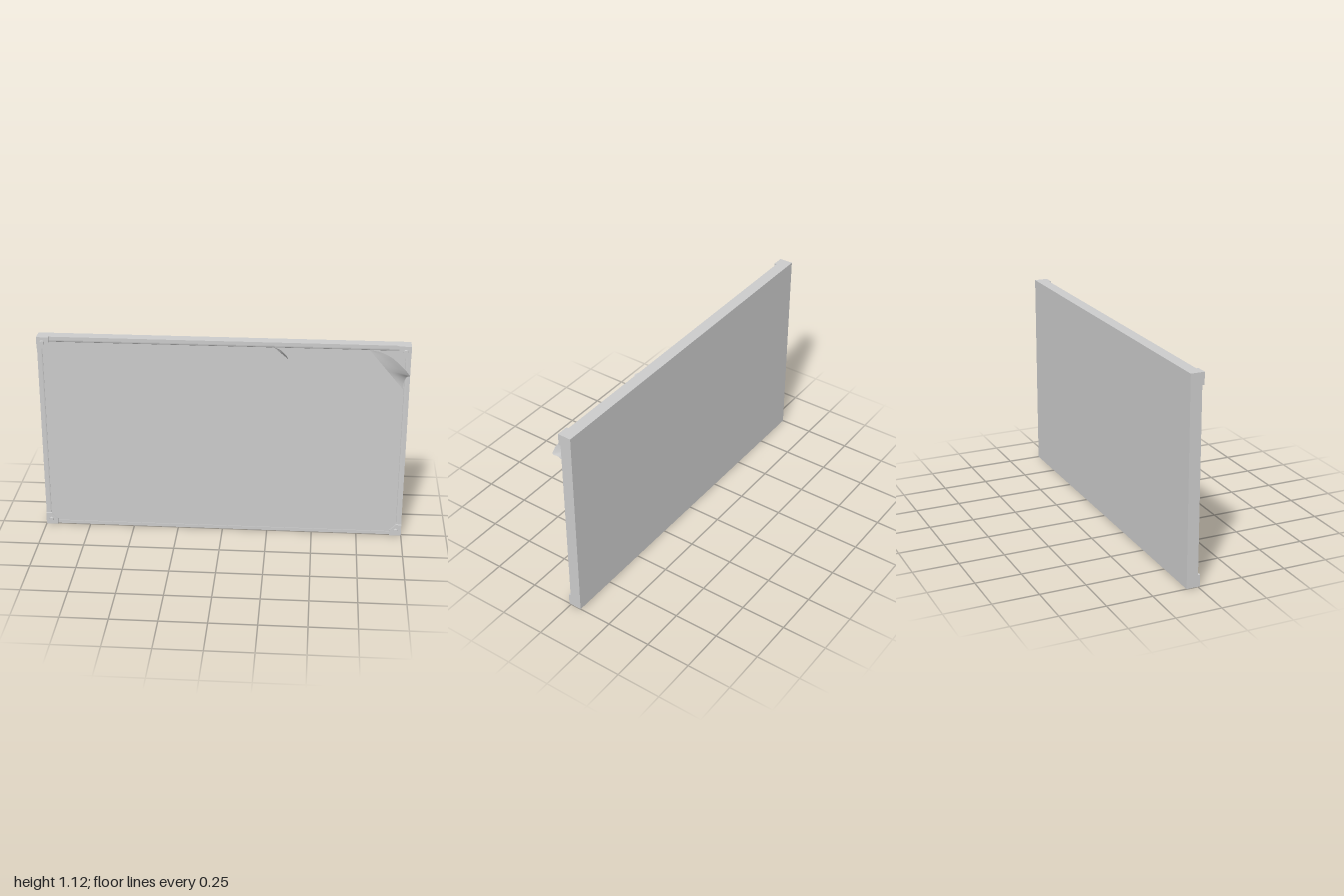
import * as THREE from 'three';

const W = 2, H = 1.125, BACK = -0.063, BOARD = -0.006, SHEET = 0.002;
const grey = new THREE.MeshStandardMaterial({ color: 0xcccccc });
const paper = new THREE.MeshStandardMaterial({ color: 0xcccccc, side: THREE.DoubleSide });

const shapeOf = (pts) => new THREE.Shape(pts.map(([x, y]) => new THREE.Vector2(x, y)));

function add(parent, name, geometry, material = grey) {
  const mesh = new THREE.Mesh(geometry, material);
  mesh.name = name;
  parent.add(mesh);
  return mesh;
}

// Curved sheet lofted from a straight fold line to a free outer edge
function flap(from, to, outer, bulge) {
  const a = new THREE.Vector3(...from), b = new THREE.Vector3(...to);
  const edge = new THREE.CatmullRomCurve3(outer.map((p) => new THREE.Vector3(...p)), false, 'centripetal');
  const n = 16, m = 8, pos = [], index = [];
  for (let i = 0; i <= n; i++) {
    const root = a.clone().lerp(b, i / n), tip = edge.getPoint(i / n);
    for (let j = 0; j <= m; j++) {
      const t = j / m, p = root.clone().lerp(tip, t);
      // stay near the board at the root, then curl outwards
      p.z -= bulge * Math.sin(Math.PI * t) * (tip.z - root.z);
      pos.push(p.x, p.y, p.z);
      if (i < n && j < m) {
        const k = i * (m + 1) + j;
        index.push(k, k + 1, k + m + 1, k + 1, k + m + 2, k + m + 1);
      }
    }
  }
  const g = new THREE.BufferGeometry();
  g.setAttribute('position', new THREE.Float32BufferAttribute(pos, 3));
  g.setIndex(index);
  g.computeVertexNormals();
  return g;
}

export function createModel() {
  const model = new THREE.Group();
  model.name = 'posterBoard';

  // Backing board
  add(model, 'board', new THREE.BoxGeometry(W, H, BOARD - BACK))
    .position.set(0, H / 2, (BOARD + BACK) / 2);

  // Low rails with a rounded inner edge, one along each side
  const h = -BOARD;
  const profile = shapeOf([[0, 0], [0.03, 0], [0.028, h * 0.5], [0.024, h * 0.85], [0.018, h], [0, h]]);
  const rail = (name, length, angle, x, y) => {
    const g = new THREE.ExtrudeGeometry(profile, { depth: length, bevelEnabled: false });
    g.translate(0, 0, -length / 2);
    g.rotateX(Math.PI / 2);          // profile height to +z, length along y
    const mesh = add(model, name, g);
    mesh.rotation.z = angle;
    mesh.position.set(x, y, BOARD);
  };
  rail('leftRail', H - 0.02, Math.PI, 1, H / 2);
  rail('rightRail', H - 0.02, 0, -1, H / 2);
  rail('bottomRail', W - 0.02, Math.PI / 2, 0, 0);
  rail('topRail', W - 0.02, -Math.PI / 2, 0, H);

  // Poster with a missing corner and a torn notch in the top edge
  const sheet = shapeOf([
    [-0.97, 0.022], [0.965, 0.022], [0.965, 0.88], [0.78, 1.098],
    [0.35, 1.098], [0.355, 1.03], [0.275, 1.098], [-0.97, 1.098],
  ]);
  add(model, 'poster', new THREE.ShapeGeometry(sheet), paper).position.z = SHEET;

  // Peeling corner and small torn flap
  add(model, 'peelingCorner', flap(
    [0.78, 1.098, SHEET], [0.965, 0.88, SHEET],
    [[0.78, 1.098, SHEET], [0.845, 1.088, 0.012], [0.91, 1.06, 0.035], [0.995, 0.98, 0.062],
      [0.982, 0.965, 0.035], [0.97, 0.93, 0.012], [0.965, 0.88, SHEET]], 0.12), paper);
  add(model, 'tornFlap', flap(
    [0.275, 1.098, SHEET], [0.355, 1.03, SHEET],
    [[0.275, 1.098, SHEET], [0.31, 1.09, 0.018], [0.342, 1.073, 0.052],
      [0.35, 1.045, 0.02], [0.355, 1.03, SHEET]], 0.1), paper);

  // Corner plates with chamfered inner corners, each with a bolt
  for (const sx of [-1, 1]) for (const sy of [-1, 1]) {
    const corner = new THREE.Group();
    corner.name = (sy > 0 ? 'top' : 'bottom') + (sx > 0 ? 'Left' : 'Right') + 'Bracket';
    const pts = [[0, 0], [0.065, 0], [0.065, 0.03], [0.03, 0.065], [0, 0.065]];
    const plate = shapeOf(pts.map(([x, y]) => [-sx * x, -sy * y]));
    add(corner, 'plate', new THREE.ExtrudeGeometry(plate, { depth: 0.018, bevelEnabled: false }))
      .position.z = BOARD;
    const bolt = new THREE.CylinderGeometry(0.011, 0.013, 0.01, 12);
    bolt.rotateX(Math.PI / 2);
    add(corner, 'bolt', bolt).position.set(-sx * 0.03, -sy * 0.03, 0.016);
    corner.position.set(sx, sy > 0 ? H : 0, 0);
    model.add(corner);
  }
  return model;
}
